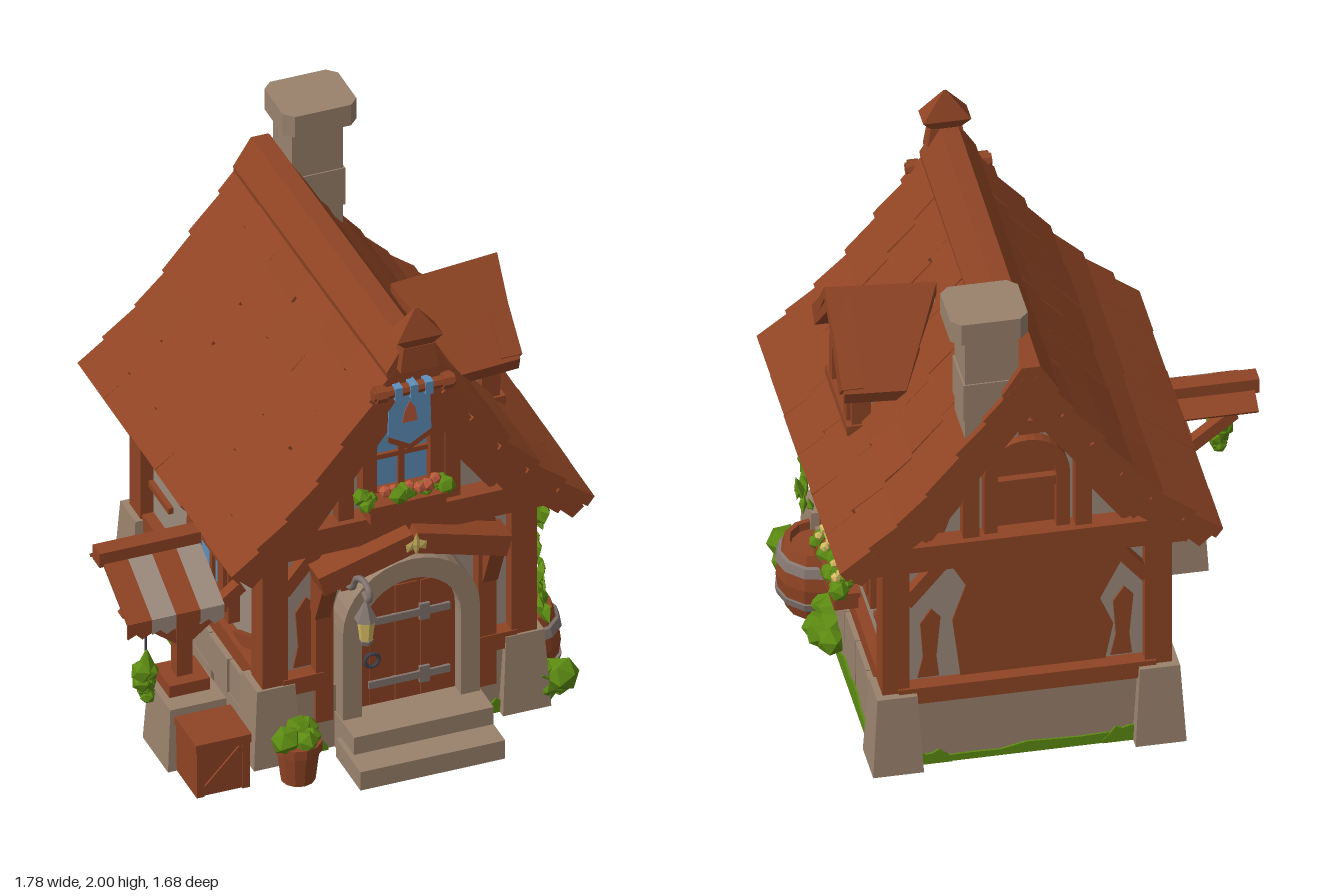
import * as THREE from 'three';

const mat = (name, color) => { const m = new THREE.MeshStandardMaterial({ color }); m.name = name; return m; };
const WOOD = mat('wood', 0x8f4424), PLASTER = mat('plaster', 0x9d8b7d), STONE = mat('stone', 0x9a826d),
  GLASS = mat('blue', 0x5e8fba), LEAF = mat('leaf', 0x5c8a12), GOLD = mat('gold', 0xd4ba62),
  METAL = mat('metal', 0x847670), DARK = mat('darkIron', 0x40404a), BLOOM = mat('bloom', 0xb9583a);

let seed = 7;
const rnd = () => (seed = (seed * 16807) % 2147483647) / 2147483647;
const flat = g => { const f = g.index ? g.toNonIndexed() : g; f.computeVertexNormals(); return f; };
const V = a => new THREE.Vector3(...a);
const CX = 0.17; // centre line of the house

function add(p, name, m, geo, x = 0, y = 0, z = 0) {
  const o = new THREE.Mesh(geo, m);
  o.name = name; o.position.set(x, y, z); p.add(o);
  return o;
}
const box = (p, name, m, w, h, d, x, y, z) => add(p, name, m, new THREE.BoxGeometry(w, h, d), x, y, z);
// Box running from a to b; w is its x thickness, d its z thickness before tilting
function beam(p, name, m, a, b, w, d) {
  const s = V(a), dir = V(b).sub(s), o = box(p, name, m, w, dir.length(), d, 0, 0, 0);
  o.position.copy(s).addScaledVector(dir, 0.5);
  o.quaternion.setFromUnitVectors(new THREE.Vector3(0, 1, 0), dir.normalize());
  return o;
}
const cyl = (p, name, m, rt, rb, h, n, x, y, z) => add(p, name, m, flat(new THREE.CylinderGeometry(rt, rb, h, n)), x, y, z);
const extrude = (s, depth) => new THREE.ExtrudeGeometry(s, { depth, bevelEnabled: false, curveSegments: 8 });
const poly = pts => new THREE.Shape(pts.map(q => new THREE.Vector2(...q)));
const plate = (p, name, m, pts, x, y, z, d = 0.008) => add(p, name, m, extrude(poly(pts), d), x, y, z);
function group(p, name, x = 0, y = 0, z = 0, ry = 0) {
  const g = new THREE.Group(); g.name = name; g.position.set(x, y, z); g.rotation.y = ry; p.add(g); return g;
}
function arch(w, y0, ys, rise) {
  const s = new THREE.Shape();
  s.moveTo(-w / 2, y0); s.lineTo(w / 2, y0); s.lineTo(w / 2, ys);
  s.absellipse(0, ys, w / 2, rise, 0, Math.PI, false);
  return s;
}
// Four-sided tapered block
function taper(p, name, m, top, bottom, h, x, y, z) {
  const o = cyl(p, name, m, top / Math.SQRT2, bottom / Math.SQRT2, h, 4, x, y, z);
  o.geometry.rotateY(Math.PI / 4); return o;
}
// Scattered tufts around c, kept above the ground
function clump(p, name, n, c, spread, r, m = LEAF) {
  for (let i = 0; i < n; i++) {
    const [x, y, z] = c.map((v, k) => v + (rnd() - 0.5) * spread[k]), s = r * (0.7 + 0.5 * rnd());
    add(p, name, m, new THREE.IcosahedronGeometry(s, 0), x, Math.max(y, s), z).rotation.set(rnd() * 3, rnd() * 3, 0);
  }
}
// Arched window facing +z, standing on y = 0
function archedWindow(p, w, h) {
  const g = group(p, 'window'), rise = w * 0.45, f = arch(w + 0.11, -0.03, h - rise, rise + 0.05);
  f.holes.push(arch(w, 0, h - rise, rise));
  add(g, 'windowFrame', WOOD, extrude(f, 0.06));
  add(g, 'windowPane', GLASS, extrude(arch(w, 0, h - rise, rise), 0.008), 0, 0, 0.015);
  box(g, 'mullion', WOOD, 0.024, h, 0.025, 0, h / 2, 0.025);
  box(g, 'glazingBar', WOOD, w, 0.02, 0.025, 0, h * 0.48, 0.025);
  return g;
}
function planter(p, w, bloom) {
  const g = group(p, 'flowerBox');
  box(g, 'trough', WOOD, w * 0.88, 0.07, 0.09, 0, 0.03, 0.05);
  box(g, 'troughRim', WOOD, w * 0.93, 0.02, 0.1, 0, 0.06, 0.05);
  clump(g, 'foliage', 14, [0, 0.08, 0.065], [w, 0.025, 0.06], 0.036);
  clump(g, 'flower', 8, [0, 0.112, 0.07], [w * 0.75, 0.02, 0.05], 0.023, bloom);
  return g;
}
function moss(p, w, h, x, z) {
  const pts = [[-w / 2, 0], [w / 2, 0]];
  for (let i = 0; i <= 8; i++) pts.push([w / 2 - w * i / 8, h * (i % 8 ? 0.5 + 0.5 * rnd() : 0.2)]);
  plate(p, 'moss', LEAF, pts, x, 0, z);
}

function buildRoof(root) {
  const g = group(root, 'roof');
  const P = [[0, 1.74], [0.12, 1.57], [0.23, 1.42], [0.34, 1.265], [0.45, 1.135], [0.57, 1.02], [0.675, 0.915]];
  const inner = P.map(([o, y], i) => i === 6 ? [0.63, 0.875] : [o, y - 0.085]);
  const mir = a => a.map(([o, y]) => [-o, y]);
  plate(g, 'roofDeck', WOOD, [...mir(P).reverse(), ...P.slice(1), ...inner.slice().reverse(), ...mir(inner).slice(1)], CX, 0, -0.83, 1.5);
  // Overlapping boards with uneven lower edges
  const n = 6, zw = 1.52 / n;
  for (const s of [-1, 1]) for (let i = 0; i < 6; i++) for (let k = 0; k < n; k++) {
    const [a, b] = [P[i], P[i + 1]], dx = b[0] - a[0], dy = b[1] - a[1], L = Math.hypot(dx, dy);
    const nx = -dy / L, ny = dx / L, e = 1 + (i < 5 ? 0.14 : 0.04) * rnd(), up = 0.03 + 0.006 * rnd();
    const z = -0.84 + zw * (k + 0.5), sag = -0.03 * (1 - k / n) * (1 - i / 6);
    beam(g, 'roofBoard', WOOD, [CX + s * (a[0] + nx * 0.012), a[1] + ny * 0.012 + sag, z],
      [CX + s * (a[0] + dx * e + nx * up), a[1] + dy * e + ny * up + sag, z], 0.046, zw + 0.002);
  }
  const cap = plate(g, 'ridgeCap', WOOD, [[-0.1, 1.66], [0.1, 1.66], [0.105, 1.7], [0.035, 1.81], [-0.035, 1.81], [-0.105, 1.7]], CX, 0, -0.84, 1.52);
  const pos = cap.geometry.attributes.position;
  for (let i = 0; i < pos.count; i++) pos.setY(i, pos.getY(i) - 0.035 * (1 - pos.getZ(i) / 1.52));
  // Gable rafters
  for (const z of [0.6, -0.77]) for (const s of [-1, 1]) {
    beam(g, 'rafter', WOOD, [CX, 1.63, z], [CX + s * 0.43, 1.06, z], 0.11, 0.1);
    beam(g, 'rafterFoot', WOOD, [CX + s * 0.4, 1.1, z], [CX + s * 0.61, 0.93, z], 0.09, 0.1);
  }
  // Finial
  taper(g, 'finialBase', WOOD, 0.12, 0.15, 0.1, CX + 0.01, 1.76, 0.68).scale.z = 0.5;
  taper(g, 'finialCollar', WOOD, 0.18, 0.11, 0.04, CX + 0.01, 1.83, 0.68).scale.z = 0.5;
  taper(g, 'finialSpike', WOOD, 0.01, 0.18, 0.11, CX + 0.01, 1.905, 0.68).scale.z = 0.5;
  // Chimney
  box(g, 'chimneyShaft', STONE, 0.2, 0.5, 0.19, 0.31, 1.7, -0.715);
  box(g, 'chimneyBand', STONE, 0.215, 0.16, 0.2, 0.31, 1.63, -0.715);
  const c = poly([[-.145, -.09], [-.11, -.125], [.11, -.125], [.145, -.09], [.145, .09], [.11, .125], [-.11, .125], [-.145, .09]]);
  add(g, 'chimneyCap', STONE, extrude(c, 0.09), 0.32, 1.91, -0.715).rotation.x = -Math.PI / 2;
}

function buildDormer(root) {
  const g = group(root, 'dormer', 0.66, 0, 0, Math.PI / 2); // local +z looks out to the side
  plate(g, 'dormerWall', PLASTER, [[-0.15, 1.1], [0.15, 1.1], [0.15, 1.38], [0, 1.56], [-0.15, 1.38]], 0, 0, -0.3, 0.3);
  archedWindow(g, 0.21, 0.215).position.set(0, 1.14, 0);
  box(g, 'dormerSill', WOOD, 0.4, 0.04, 0.09, 0, 1.12, 0.02);
  for (const s of [-1, 1]) {
    box(g, 'dormerPost', WOOD, 0.05, 0.27, 0.07, s * 0.165, 1.25, 0.01);
    beam(g, 'dormerBarge', WOOD, [0, 1.575, 0.06], [s * 0.25, 1.335, 0.06], 0.075, 0.08);
    // Sloping roof side, tapering back into the main roof
    const q = [[0, 1.635, 0.11], [s * 0.28, 1.345, 0.09], [s * 0.28, 1.33, -0.14], [0, 1.6, -0.31]];
    const low = q.map(([x, y, z]) => [x * 0.95, y - 0.05, z]), v = [...q, ...low].flat();
    const idx = [0, 1, 2, 0, 2, 3, 4, 6, 5, 4, 7, 6, 0, 4, 5, 0, 5, 1, 1, 5, 6, 1, 6, 2, 2, 6, 7, 2, 7, 3];
    if (s < 0) idx.reverse();
    const b = new THREE.BufferGeometry();
    b.setAttribute('position', new THREE.Float32BufferAttribute(v, 3)); b.setIndex(idx);
    add(g, 'dormerRoof', WOOD, flat(b));
  }
}

function buildWalls(root) {
  const g = group(root, 'house');
  plate(g, 'walls', PLASTER, [[-0.49, 0.2], [0.49, 0.2], [0.49, 0.98], [0, 1.62], [-0.49, 0.98]], CX, 0, -0.72, 1.21);
  box(g, 'plinth', STONE, 1.06, 0.27, 1.29, CX, 0.135, -0.115);
  for (const s of [-1, 1]) {
    for (const z of [0.49, -0.715]) {
      box(g, 'cornerPost', WOOD, 0.1, 0.72, 0.11, CX + s * 0.49, 0.6, z);
      taper(g, 'cornerStone', STONE, 0.15, 0.19, 0.33, CX + s * 0.49, 0.165, z - 0.01);
    }
    box(g, 'sideSill', WOOD, 0.07, 0.07, 1.2, CX + s * 0.5, 0.315, -0.11);
    box(g, 'wallPlate', WOOD, 0.08, 0.07, 1.3, CX + s * 0.49, 0.91, -0.11);
    beam(g, 'sideBrace', WOOD, [CX + s * 0.49, 0.78, 0.44], [CX + s * 0.49, 0.9, 0.2], 0.05, 0.05);
    beam(g, 'sideBrace', WOOD, [CX + s * 0.49, 0.74, -0.66], [CX + s * 0.49, 0.9, -0.38], 0.05, 0.06);
    beam(g, 'lowBrace', WOOD, [CX + s * 0.49, 0.45, 0.44], [CX + s * 0.49, 0.34, 0.2], 0.05, 0.05);
    box(g, 'stubRail', WOOD, 0.04, 0.025, 0.2, CX + s * 0.49, 0.48, -0.56);
    for (let i = 0; i < 6; i++)
      box(g, 'baseBlock', STONE, 0.035 + 0.015 * rnd(), 0.145, 0.185, CX + s * 0.53, 0.2, 0.33 - i * 0.19);
    for (let i = 0; i < 3; i++)
      box(g, 'footBlock', STONE, 0.03 + 0.01 * rnd(), 0.12, 0.36, CX + s * 0.53, 0.06, 0.26 - i * 0.38);
    const w = group(g, 'sideWall', CX + s * 0.49, 0, 0, s * Math.PI / 2), c = s > 0 ? 0.04 : 0;
    archedWindow(w, 0.25, 0.27).position.set(c, 0.475, 0);
    for (const k of [-1, 1]) {
      if (s < 0) { box(w, 'windowPost', WOOD, 0.05, 0.4, 0.05, k * 0.17, 0.6, 0.02); continue; }
      plate(w, 'shutter', WOOD, [[-.105, .495], [.105, .495], [.105, .735 + k * .01], [-.105, .735 - k * .01]], c + k * 0.31, 0, 0, 0.03);
      plate(w, 'shutterPanel', WOOD, [[-.07, .535], [.07, .535], [.07, .7], [-.07, .7]], c + k * 0.31, 0, 0.03);
    }
    if (s > 0) planter(w, 0.43, GOLD).position.set(0.07, 0.37, 0.03);
    moss(w, 0.5, 0.08, s > 0 ? 0.33 : -0.3, 0.063);
    moss(w, 0.5, 0.07, s > 0 ? 0.0 : 0.2, 0.063);
  }
  // Timber framing on both gables
  for (const [ry, z] of [[0, 0.49], [Math.PI, -0.72]]) {
    const w = group(g, ry ? 'backGable' : 'frontGable', CX, 0, z, ry);
    box(w, 'crossBeam', WOOD, 1.16, 0.11, 0.12, 0, 0.94, 0.02);
    box(w, 'collarBeam', WOOD, 0.4, 0.06, 0.07, 0, 1.46, 0.02);
    for (const s of [-1, 1]) {
      box(w, 'gablePost', WOOD, 0.06, 0.48, 0.07, s * 0.21, 1.22, 0.02);
      beam(w, 'gableBrace', WOOD, [s * 0.23, 1.2, 0.02], [s * 0.38, 1.0, 0.02], 0.045, 0.05);
      beam(w, 'kneeBrace', WOOD, [s * 0.45, 0.72, 0.02], [s * 0.3, 0.9, 0.02], 0.05, 0.05);
      if (!ry) box(w, 'frontSill', WOOD, 0.16, 0.07, 0.08, s * 0.38, 0.315, 0.02);
      moss(w, 0.2, 0.07, s * 0.38, 0.045);
      plate(w, 'barePatch', WOOD, [[-.04, .36], [.04, .36], [.03, .45], [.045, .62], [.01, .66], [-.03, .6], [-.02, .45]], s * 0.36, 0, 0);
    }
    plate(w, 'barePatch', WOOD, [[-.4, 1.0], [-.3, 1.0], [-.28, 1.06], [-.33, 1.1]], 0, 0, 0);
    if (!ry) continue;
    box(w, 'backSill', WOOD, 0.96, 0.07, 0.08, 0, 0.315, 0.02);
    plate(w, 'bareBoards', WOOD, [[-.24, .35], [.3, .35], [.33, .5], [.28, .62], [.36, .78], [.33, .89], [-.3, .89], [-.22, .75], [-.27, .6]], 0, 0, 0);
    const f = arch(0.32, 1.0, 1.24, 0.16); f.holes.push(arch(0.22, 1.0, 1.23, 0.11));
    add(w, 'blindArch', WOOD, extrude(f, 0.05));
    add(w, 'blindPanel', WOOD, extrude(arch(0.22, 1.0, 1.23, 0.11), 0.008));
    box(w, 'blindArchBar', WOOD, 0.3, 0.04, 0.04, 0, 1.2, 0.02);
    moss(w, 0.8, 0.05, 0, 0.042);
  }
}

function buildEntrance(root) {
  const g = group(root, 'entrance', 0.195, 0, 0.49);
  const f = arch(0.54, 0.1, 0.53, 0.27); f.holes.push(arch(0.39, 0.1, 0.52, 0.195));
  add(g, 'stoneArch', STONE, extrude(f, 0.11));
  add(g, 'door', WOOD, extrude(arch(0.39, 0.15, 0.52, 0.195), 0.05));
  for (const x of [-0.1, 0, 0.1]) box(g, 'doorPlank', WOOD, 0.085, 0.5, 0.012, x, 0.41, 0.05);
  for (const y of [0.25, 0.525]) {
    box(g, 'hinge', METAL, 0.32, 0.03, 0.012, 0.01, y, 0.06);
    box(g, 'hingePlate', METAL, 0.04, 0.07, 0.014, 0.07, y, 0.06);
  }
  add(g, 'doorRing', DARK, new THREE.TorusGeometry(0.028, 0.008, 6, 12), -0.14, 0.365, 0.07);
  box(g, 'upperStep', STONE, 0.55, 0.155, 0.2, 0, 0.0775, 0.13);
  box(g, 'lowerStep', STONE, 0.57, 0.08, 0.24, -0.01, 0.04, 0.225);
  // Gabled porch trim
  for (const s of [-1, 1]) {
    box(g, 'doorPost', WOOD, 0.07, 0.66, 0.07, s * 0.32, 0.46, 0.02);
    beam(g, 'porchBeam', WOOD, [0, 0.895, 0.09], [s * 0.37, 0.79, 0.09], 0.085, 0.12);
    beam(g, 'porchBracket', WOOD, [s * 0.33, 0.6, 0.03], [s * 0.33, 0.78, 0.11], 0.06, 0.06);
    const petal = add(g, 'emblemPetal', GOLD, new THREE.OctahedronGeometry(0.028), s * 0.024, 0.89, 0.158);
    petal.scale.set(0.75, 1, 0.15); petal.rotation.z = s * 0.5;
  }
  add(g, 'emblemCore', GOLD, new THREE.OctahedronGeometry(0.05), 0, 0.895, 0.158).scale.set(0.4, 1, 0.12);
  // Upper window, flower box and banner
  archedWindow(g, 0.21, 0.28).position.set(-0.015, 1.1, 0.01);
  planter(g, 0.34, BLOOM).position.set(-0.03, 1.025, 0.06);
  cyl(g, 'bannerRod', WOOD, 0.024, 0.024, 0.32, 8, -0.03, 1.62, 0.2).rotation.z = Math.PI / 2;
  for (const x of [-0.16, 0.1]) cyl(g, 'rodKnob', WOOD, 0.034, 0.034, 0.04, 8, x, 1.62, 0.2).rotation.z = Math.PI / 2;
  plate(g, 'banner', GLASS, [[-.08, 1.6], [-.085, 1.41], [0, 1.36], [.085, 1.41], [.08, 1.6]], -0.035, 0, 0.172);
  for (const x of [-0.06, 0, 0.06]) box(g, 'bannerLoop', GLASS, 0.03, 0.055, 0.056, x - 0.035, 1.62, 0.2);
  plate(g, 'bannerHem', WOOD, [[-.085, 1.41], [-.085, 1.385], [0, 1.335], [.085, 1.385], [.085, 1.41], [0, 1.36]], -0.035, 0, 0.173);
  plate(g, 'bannerEmblem', BLOOM, [[-.03, 1.46], [.03, 1.46], [.02, 1.52], [0, 1.55], [-.02, 1.51]], -0.035, 0, 0.177, 0.006);
  // Lantern on a curled arm
  const l = group(root, 'lantern', -0.06, 0, 0.79);
  const path = [[0, .75, -.22], [0, .77, -.14], [0, .84, -.09], [0, .87, -.01], [0, .85, .04], [0, .81, .02], [0, .825, -.015]].map(V);
  add(l, 'lanternArm', METAL, new THREE.TubeGeometry(new THREE.CatmullRomCurve3(path), 24, 0.013, 6));
  box(l, 'lanternMount', WOOD, 0.06, 0.06, 0.1, 0, 0.77, -0.22);
  cyl(l, 'lanternRoof', METAL, 0.008, 0.045, 0.075, 6, 0, 0.755, 0);
  cyl(l, 'lanternGlass', GOLD, 0.035, 0.024, 0.09, 6, 0, 0.673, 0);
  cyl(l, 'lanternFoot', METAL, 0.028, 0.022, 0.02, 6, 0, 0.62, 0);
}

function buildStall(root) {
  const g = group(root, 'marketStall');
  taper(g, 'stallStone', STONE, 0.22, 0.25, 0.26, -0.585, 0.13, 0.34);
  box(g, 'postFoot', WOOD, 0.16, 0.05, 0.16, -0.59, 0.29, 0.3);
  box(g, 'stallPost', WOOD, 0.06, 0.45, 0.06, -0.59, 0.51, 0.3);
  for (const x of [-0.82, -0.36]) beam(g, 'stallBrace', WOOD, [-0.59, 0.46, 0.3], [x, 0.64, 0.3], 0.045, 0.045);
  box(g, 'awningRidge', WOOD, 0.4, 0.06, 0.07, -0.69, 0.835, 0.205);
  box(g, 'awningTie', WOOD, 0.05, 0.05, 0.3, -0.59, 0.7, 0.22);
  for (let i = 0; i < 4; i++) {
    const m = i % 2 ? PLASTER : WOOD, x = -0.825 + i * 0.095;
    beam(g, 'awningCloth', m, [x, 0.83, 0.2], [x, 0.69, 0.475], 0.095, 0.012);
    beam(g, 'awningBack', WOOD, [x, 0.83, 0.2], [x, 0.77, 0.1], 0.095, 0.012);
    plate(g, 'awningValance', m, [[-.0475, .695], [-.0475, .63], [-.015, .645], [.01, .62], [.0475, .64], [.0475, .695]], x, 0, 0.47);
  }
  // Crate
  box(g, 'crate', WOOD, 0.2, 0.21, 0.19, -0.57, 0.105, 0.56);
  box(g, 'crateLid', WOOD, 0.22, 0.035, 0.21, -0.57, 0.215, 0.56);
  for (const s of [-1, 1]) box(g, 'crateSlat', WOOD, 0.03, 0.2, 0.205, -0.57 + s * 0.09, 0.1, 0.56);
  beam(g, 'crateBrace', WOOD, [-0.64, 0.03, 0.657], [-0.5, 0.18, 0.657], 0.025, 0.012);
  // Hanging plant
  cyl(g, 'plantCord', DARK, 0.005, 0.005, 0.18, 5, -0.8, 0.6, 0.47);
  cyl(g, 'plantCrown', LEAF, 0.005, 0.04, 0.08, 6, -0.8, 0.53, 0.48);
  for (let i = 0; i < 4; i++) clump(g, 'hangingPlant', 3, [-0.8, 0.48 - i * 0.035, 0.48], [0.07 - i * 0.016, 0.02, 0.05], 0.04 - i * 0.004);
}

function buildGarden(root) {
  const g = group(root, 'garden');
  const lathe = (name, m, pts, x, z) => add(g, name, m, flat(new THREE.LatheGeometry(pts.map(q => new THREE.Vector2(...q)), 12)), x, 0, z);
  lathe('barrel', WOOD, [[0, 0], [.12, 0], [.15, .09], [.158, .15], [.15, .21], [.125, .29], [.105, .29], [.1, .26], [0, .26]], 0.73, 0.31);
  lathe('barrelHoop', METAL, [[.141, .05], [.153, .06], [.161, .09], [.15, .09]], 0.73, 0.31);
  lathe('barrelHoop', METAL, [[.15, .21], [.161, .21], [.15, .245], [.138, .25]], 0.73, 0.31);
  lathe('flowerPot', WOOD, [[0, 0], [.065, 0], [.08, .13], [.09, .13], [.09, .17], [0, .17]], -0.28, 0.67);
  clump(g, 'potPlant', 9, [-0.28, 0.175, 0.67], [0.11, 0.02, 0.11], 0.05);
  clump(g, 'bush', 7, [0.78, 0.08, 0.53], [0.08, 0.08, 0.08], 0.058);
  clump(g, 'bush', 8, [0.75, 0.07, 0.06], [0.06, 0.07, 0.2], 0.06);
  // Climbing ivy, leaves lying flat against the post
  for (let i = 0; i < 26; i++) {
    const leaf = add(g, 'ivyLeaf', LEAF, new THREE.OctahedronGeometry(0.034 + 0.018 * rnd()),
      0.725 + 0.05 * rnd(), 0.33 + i * 0.02, 0.45 + 0.03 * Math.sin(i * 0.6) + (rnd() - 0.5) * 0.09);
    leaf.scale.x = 0.4; leaf.rotation.set(rnd() * 3, 0, (rnd() - 0.5) * 0.8);
  }
}

export function createModel() {
  const root = new THREE.Group();
  root.name = 'cottage';
  [buildWalls, buildRoof, buildDormer, buildEntrance, buildStall, buildGarden].forEach(f => f(root));
  return root;
}
